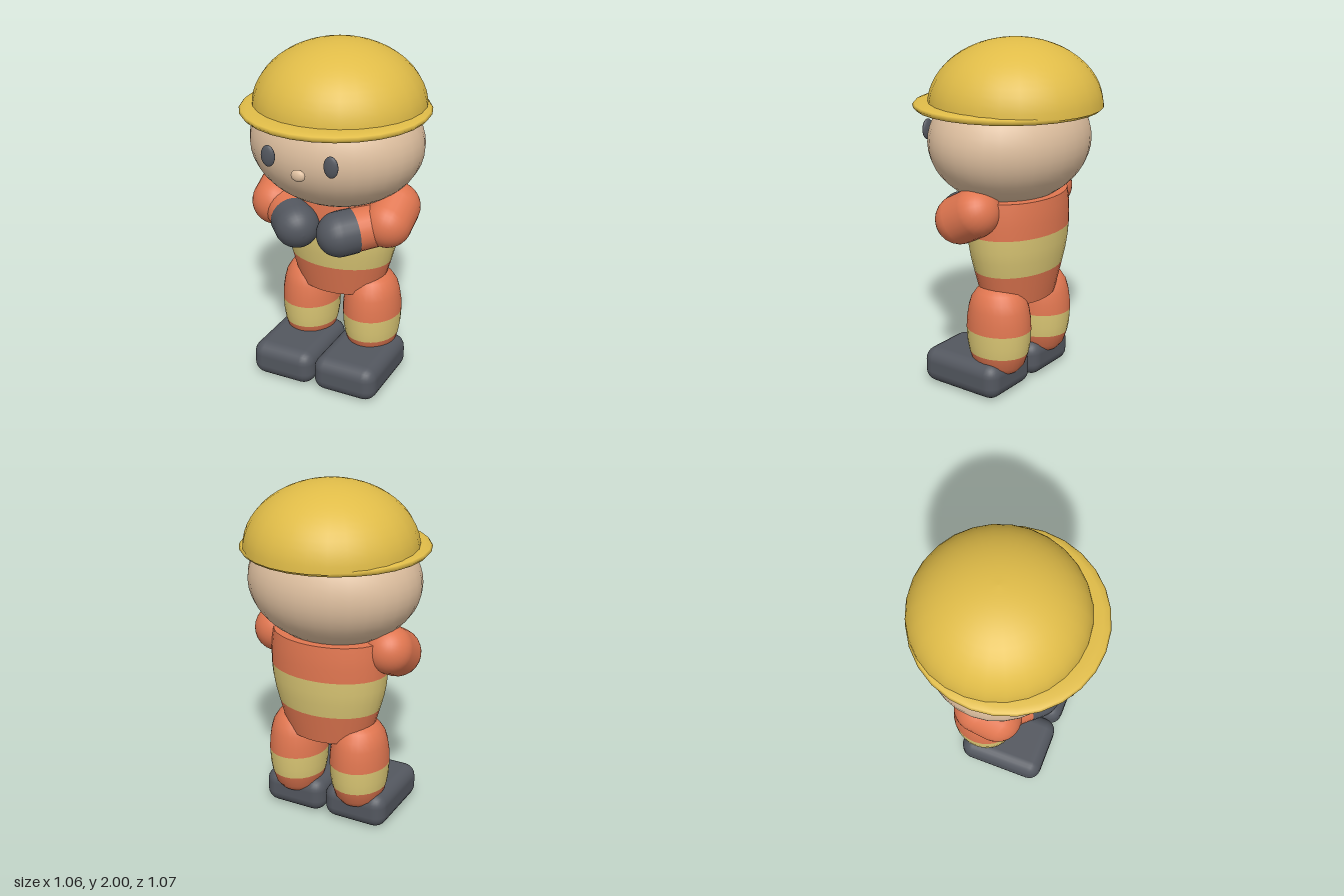
import * as THREE from 'three';
import { RoundedBoxGeometry } from 'three/addons/geometries/RoundedBoxGeometry.js';

const material = (name, color) => {
  const m = new THREE.MeshStandardMaterial({ color });
  m.name = name;
  return m;
};

export function createModel() {
  const yellow = material('helmetYellow', 0xe0bc48);
  const skin = material('skin', 0xdebf9f);
  const orange = material('suitOrange', 0xe07650);
  const cream = material('reflectiveStripe', 0xdcc875);
  const dark = material('darkGrey', 0x53575f);

  const model = new THREE.Group();
  model.name = 'firefighter';

  const add = (parent, name, geometry, mat) => {
    const mesh = new THREE.Mesh(geometry, mat);
    mesh.name = name;
    parent.add(mesh);
    return mesh;
  };
  const lathe = (points, sides) =>
    new THREE.LatheGeometry(points.map(([r, y]) => new THREE.Vector2(r, y)), sides);
  const ellipsoid = (parent, name, mat, pos, radii, w = 28, h = 20) => {
    const mesh = add(parent, name, new THREE.SphereGeometry(1, w, h), mat);
    mesh.position.set(...pos);
    mesh.scale.set(...radii);
    return mesh;
  };
  // Stack of coloured bands turned around one axis
  const banded = (name, bands, sides) => {
    const group = new THREE.Group();
    group.name = name;
    bands.forEach(([part, mat, points]) => add(group, part, lathe(points, sides), mat));
    model.add(group);
    return group;
  };

  // Head and face
  ellipsoid(model, 'head', skin, [0, 1.44, -0.015], [0.5, 0.36, 0.432], 32, 24);
  ellipsoid(model, 'nose', skin, [0, 1.39, 0.443], [0.042, 0.033, 0.021], 16, 12);
  for (const s of [1, -1]) {
    ellipsoid(model, s > 0 ? 'leftEye' : 'rightEye', dark,
      [s * 0.185, 1.465, 0.43], [0.042, 0.06, 0.018], 20, 14);
  }

  // Helmet: dome set back over a thin round brim
  const dome = [];
  for (let i = 0; i <= 14; i++) {
    const a = (i / 14) * Math.PI / 2;
    dome.push([0.485 * Math.cos(a), 1.63 + 0.37 * Math.sin(a)]);
  }
  dome[14][0] = 0;
  add(model, 'helmetDome', lathe(dome, 28), yellow).position.z = -0.05;
  add(model, 'helmetDomeBase', lathe([[0, 1.63], [0.485, 1.63]], 28), yellow).position.z = -0.05;
  add(model, 'helmetBrim', lathe([
    [0.36, 1.625], [0.42, 1.612], [0.48, 1.61], [0.515, 1.615], [0.53, 1.633],
    [0.52, 1.645], [0.49, 1.655], [0.42, 1.66], [0.36, 1.65],
  ], 28), yellow);

  // Tapered oval torso
  const torso = banded('torso', [
    ['torsoBase', orange, [[0, 0.54], [0.255, 0.54]]],
    ['torsoLower', orange, [[0.255, 0.54], [0.282, 0.63], [0.308, 0.72]]],
    ['torsoStripe', cream, [[0.308, 0.72], [0.33, 0.8], [0.343, 0.87], [0.35, 0.945]]],
    ['torsoUpper', orange, [[0.35, 0.945], [0.35, 1.02], [0.345, 1.09], [0.335, 1.15]]],
    ['torsoTop', orange, [[0.335, 1.15], [0, 1.15]]],
  ], 32);
  torso.scale.z = 0.72;
  torso.position.z = -0.075;

  for (const s of [1, -1]) {
    const side = s > 0 ? 'left' : 'right';

    // Bulging leg with a stripe
    const leg = banded(side + 'Leg', [
      ['legLower', orange, [[0, 0.1], [0.4, 0.115], [0.62, 0.14], [0.8, 0.18], [0.92, 0.25]]],
      ['legStripe', cream, [[0.92, 0.25], [0.975, 0.31], [1, 0.39]]],
      ['legUpper', orange, [[1, 0.39], [0.985, 0.45], [0.93, 0.515], [0.85, 0.565],
        [0.69, 0.61], [0.48, 0.635], [0.24, 0.645], [0, 0.648]]],
    ], 28);
    leg.scale.set(0.17, 1, 0.192);
    leg.position.set(s * 0.2, 0, -0.082);

    // Boot
    add(model, side + 'Boot', new RoundedBoxGeometry(0.39, 0.21, 0.525, 3, 0.075), dark)
      .position.set(s * 0.198, 0.109, 0.078);

    // Arm: sleeve capsules, the forearm ending in a glove
    const capsule = (name, mat, a, b, r) => {
      const from = new THREE.Vector3(s * a[0], a[1], a[2]);
      const to = new THREE.Vector3(s * b[0], b[1], b[2]);
      const dir = to.clone().sub(from);
      const mesh = add(model, side + name, new THREE.CapsuleGeometry(r, dir.length(), 10, 24), mat);
      mesh.position.copy(from).add(to).multiplyScalar(0.5);
      mesh.quaternion.setFromUnitVectors(new THREE.Vector3(0, 1, 0), dir.normalize());
    };
    capsule('UpperArm', orange, [0.352, 1.095, -0.04], [0.35, 1.037, 0.068], 0.138);
    capsule('Forearm', orange, [0.28, 1.015, 0.08], [0.16, 0.995, 0.2], 0.123);

    // Glove: open sleeve and rounded end
    const glove = [];
    glove.push([0.127, -0.085]);
    for (let i = 0; i <= 10; i++) {
      const a = (i / 10) * Math.PI / 2;
      glove.push([i === 10 ? 0 : 0.128 * Math.cos(a), 0.128 * Math.sin(a)]);
    }
    const hand = add(model, side + 'Glove', lathe(glove, 24), dark);
    hand.position.set(s * 0.132, 0.99, 0.226);
    hand.quaternion.setFromUnitVectors(new THREE.Vector3(0, 1, 0),
      new THREE.Vector3(s * -0.7, -0.1, 0.7).normalize());
  }

  return model;
}
